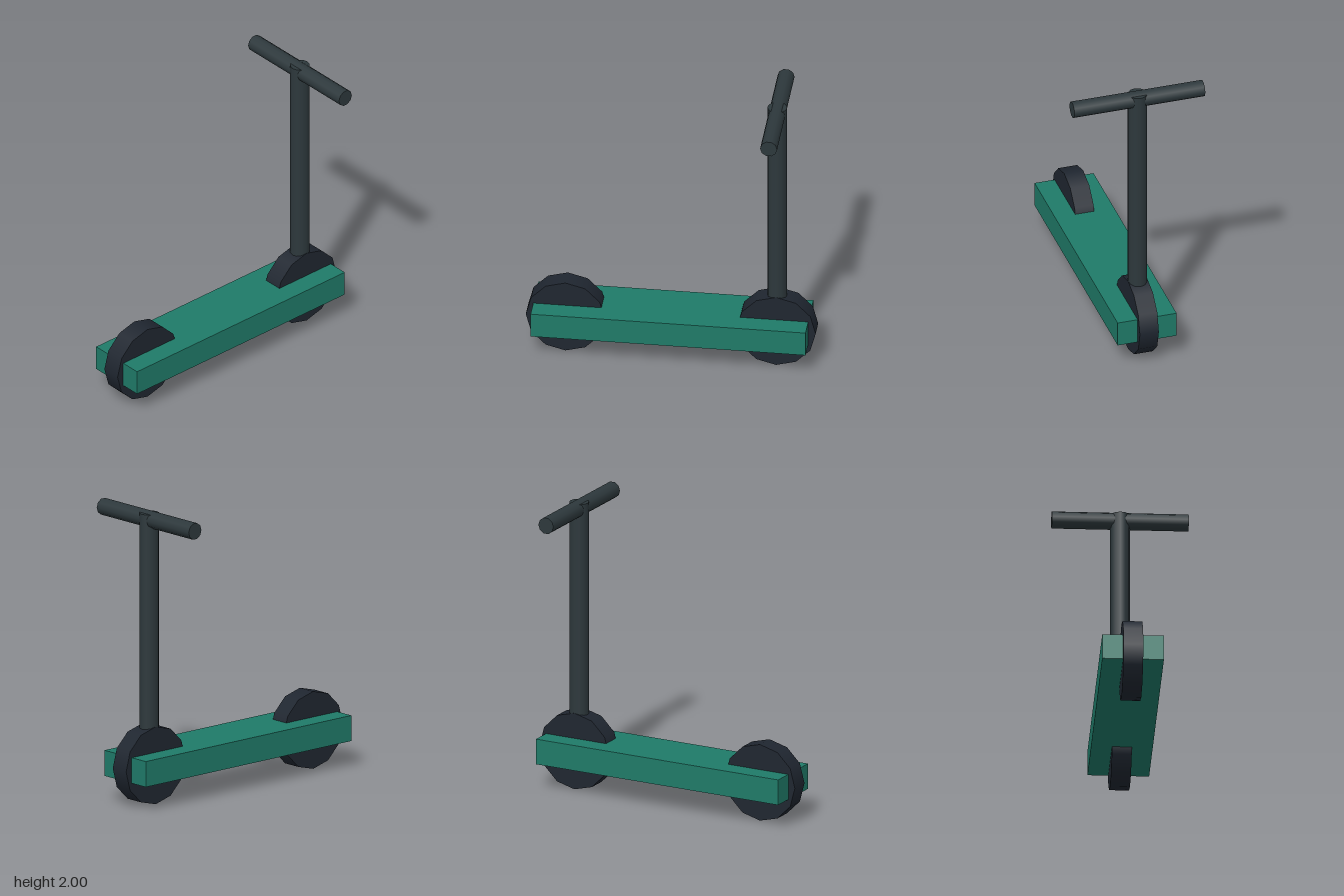
import * as THREE from 'three';

export function createModel() {
  const model = new THREE.Group();
  const green = new THREE.MeshStandardMaterial({ color: 0x1f7a68 });
  const dark = new THREE.MeshStandardMaterial({ color: 0x1f2630 });
  const metal = new THREE.MeshStandardMaterial({ color: 0x2d383c });

  const add = (name, geometry, material, y, z) => {
    const mesh = new THREE.Mesh(geometry, material);
    mesh.name = name;
    mesh.position.set(0, y, z);
    model.add(mesh);
    return mesh;
  };

  const axleZ = 0.705, wheelR = 0.265;

  // Standing board
  add('deck', new THREE.BoxGeometry(0.41, 0.175, 1.84), green, 0.2675, 0);

  // Twelve-sided wheels, set through the deck
  for (const [name, side] of [['wheelFront', 1], ['wheelBack', -1]]) {
    const wheel = new THREE.CylinderGeometry(wheelR, wheelR, 0.132, 12).rotateZ(Math.PI / 2);
    add(name, wheel, dark, wheelR, side * axleZ);
  }

  // Upright stem, from inside the wheel to the handlebar
  const bottom = 0.4, top = 1.985;
  add('stem', new THREE.CylinderGeometry(0.066, 0.066, top - bottom, 12), metal, (top + bottom) / 2, -axleZ);

  // Crossbar
  const bar = new THREE.CylinderGeometry(0.057, 0.057, 0.91, 10).rotateZ(Math.PI / 2);
  add('handlebar', bar, metal, 1.943, -axleZ);

  return model;
}
